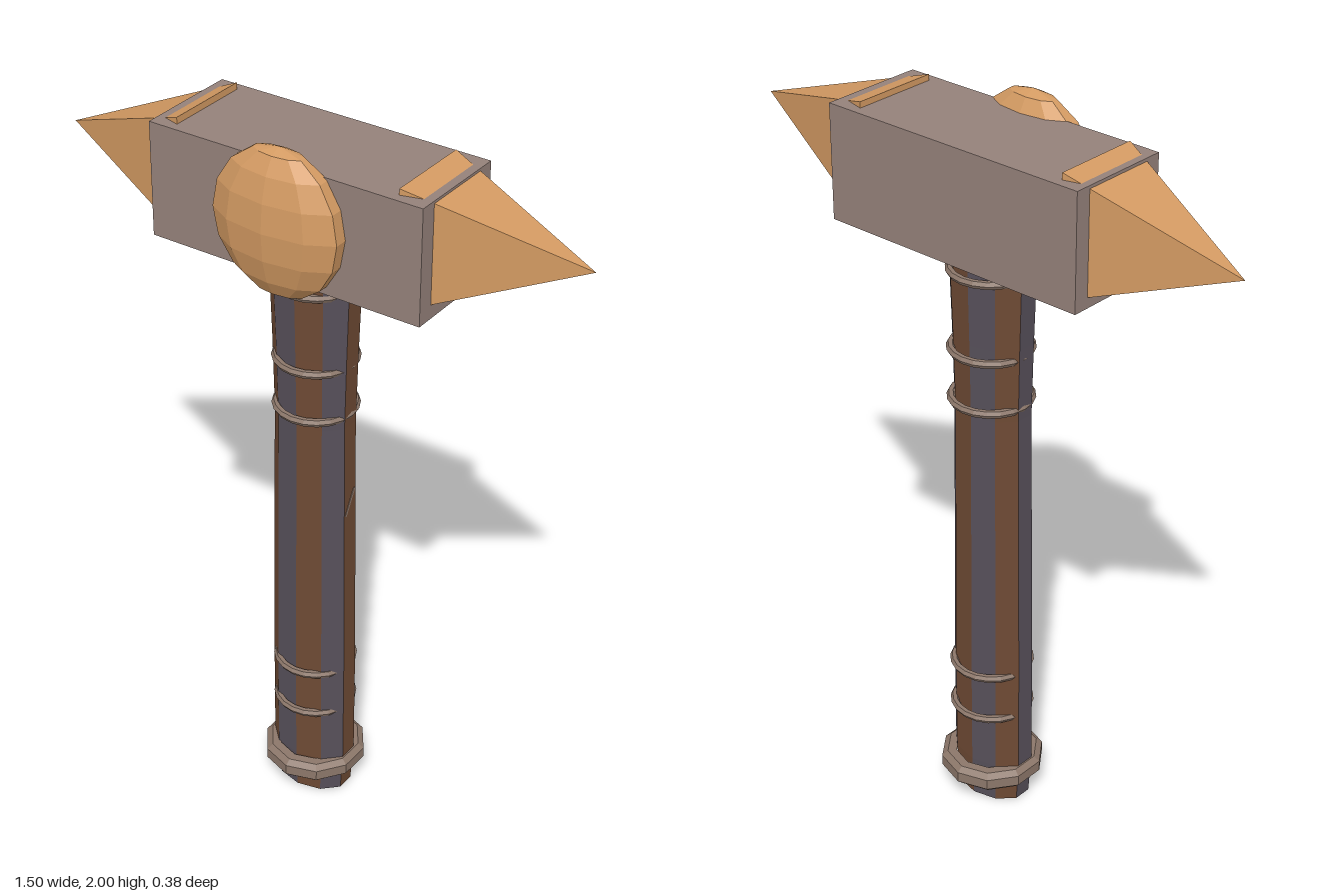
import * as THREE from 'three';

const mat = (name, color) => {
  const m = new THREE.MeshStandardMaterial({ color, flatShading: true });
  m.name = name;
  return m;
};

export function createModel() {
  const gold = mat('gold', 0xd39a62);
  const stone = mat('stone', 0x94817a);
  const wood = mat('brown wood', 0x6e4a34);
  const slate = mat('dark slate', 0x57505a);
  const band = mat('band metal', 0x8c776a);

  const model = new THREE.Group();
  const add = (name, geo, material, x, y, z, parent = model) => {
    const mesh = new THREE.Mesh(geo, material);
    mesh.name = name;
    mesh.position.set(x, y, z);
    parent.add(mesh);
    return mesh;
  };
  const SIDES = 10;
  const STEP = (Math.PI * 2) / SIDES;
  const handleZ = -0.035;

  // Handle: ten flat staves in alternating colours, flattened front to back
  const handle = new THREE.Group();
  handle.name = 'handle';
  handle.position.z = handleZ;
  handle.scale.z = 0.72;
  model.add(handle);
  const profile = [[0.112, 0], [0.121, 0.12], [0.121, 0.42], [0.113, 1.2], [0.118, 1.4], [0.127, 1.66]]
    .map(([r, y]) => new THREE.Vector2(r, y));
  for (let i = 0; i < SIDES; i++) {
    add('handleStave', new THREE.LatheGeometry(profile, 1, i * STEP, STEP), i % 2 ? slate : wood, 0, 0, 0, handle);
  }
  const cap = new THREE.CircleGeometry(0.112, SIDES, Math.PI / 2).rotateX(Math.PI / 2);
  add('handleEnd', cap, wood, 0, 0, 0, handle);

  // Thin binding rings and the thick pommel ring
  for (const y of [0.285, 0.42, 1.23, 1.37, 1.585]) {
    add('bindingRing', new THREE.TorusGeometry(0.102, 0.011, 6, 20).rotateX(Math.PI / 2), band, 0, y, handleZ - 0.005);
  }
  const collar = [[0.1, 0.06], [0.125, 0.06], [0.141, 0.075], [0.141, 0.105], [0.125, 0.118], [0.1, 0.118]]
    .map(([r, y]) => new THREE.Vector2(r, y));
  add('pommelRing', new THREE.LatheGeometry(collar, SIDES), band, 0, 0, handleZ - 0.005);

  // Small scratch on the left side of the handle
  add('scratch', new THREE.BoxGeometry(0.006, 0.08, 0.008), band, 0.108, 0.965, -0.035).rotation.x = -0.5;

  // Head block
  add('headBlock', new THREE.BoxGeometry(0.775, 0.305, 0.29), stone, -0.0025, 1.7975, -0.045);

  // Spikes: four-sided pyramids whose bases sink into the block
  const spike = (baseX, tipX, tipY, low, high) => {
    const length = Math.abs(tipX - baseX);
    const geo = new THREE.ConeGeometry(Math.SQRT1_2, 1, 4, 1, false, Math.PI / 4)
      .rotateZ(tipX > 0 ? -Math.PI / 2 : Math.PI / 2)
      .scale(length, high - low, 0.24);
    // Slide the tip to its own height
    const mid = (low + high) / 2;
    const p = geo.attributes.position;
    for (let i = 0; i < p.count; i++) {
      const t = Math.abs(p.getX(i) + (tipX > 0 ? 1 : -1) * length / 2) / length;
      p.setY(i, p.getY(i) + t * (tipY - mid));
    }
    geo.computeVertexNormals();
    add(tipX > 0 ? 'leftSpike' : 'rightSpike', geo, gold, (baseX + tipX) / 2, mid, -0.045);
  };
  spike(0.305, 0.75, 1.84, 1.648, 1.966);
  spike(-0.325, -0.75, 1.797, 1.65, 1.968);

  // Faceted boss on the front of the head
  const boss = new THREE.SphereGeometry(1, SIDES, 8, Math.PI / 2).scale(0.187, 0.195, 0.075);
  add('frontBoss', boss, gold, 0, 1.805, 0.112);

  return model;
}
